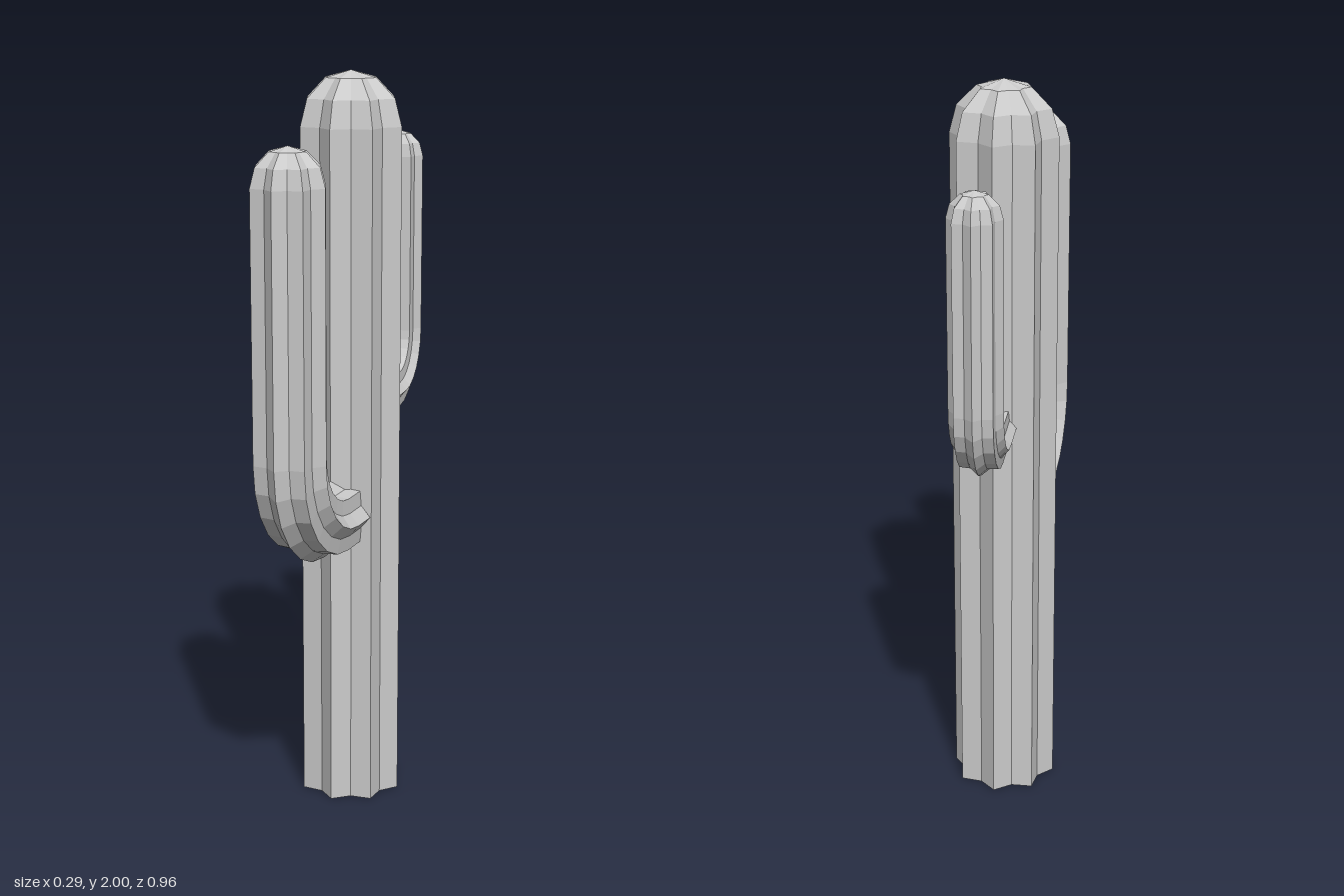
import * as THREE from 'three';

const RIBS = 8;
const VALLEY = 0.8; // groove radius relative to rib radius
const material = new THREE.MeshStandardMaterial({ color: 0xcccccc, flatShading: true, side: THREE.DoubleSide });

// Ribbed stem swept along a planar path of { p, t } (point, tangent), ending in a dome
function ribbedStem(name, path, radius, side) {
  const rings = path.map(({ p, t }) => ({ p, t, r: radius }));
  const end = path[path.length - 1];
  for (let i = 1; i <= 3; i++) {
    const a = (i / 3) * Math.PI / 2;
    const p = end.p.clone().addScaledVector(end.t, radius * Math.sin(a));
    rings.push({ p, t: end.t, r: radius * Math.cos(a) });
  }
  rings.unshift({ ...rings[0], r: 0 }); // closed base

  const n = RIBS * 2, positions = [], index = [];
  rings.forEach(({ p, t, r }, k) => {
    const normal = t.clone().cross(side);
    for (let i = 0; i < n; i++) {
      const a = (i / n) * Math.PI * 2;
      const rr = r * (i % 2 ? VALLEY : 1);
      const v = p.clone().addScaledVector(side, rr * Math.cos(a)).addScaledVector(normal, rr * Math.sin(a));
      positions.push(v.x, v.y, v.z);
      if (k === 0) continue;
      const a0 = (k - 1) * n + i, b0 = (k - 1) * n + (i + 1) % n;
      if (rings[k - 1].r > 0) index.push(a0, b0, b0 + n);
      if (k < rings.length - 1) index.push(a0, b0 + n, a0 + n);
      else index.push(a0, b0, a0 + n);
    }
  });
  const geometry = new THREE.BufferGeometry();
  geometry.setAttribute('position', new THREE.Float32BufferAttribute(positions, 3));
  geometry.setIndex(index);
  geometry.computeVertexNormals();
  const mesh = new THREE.Mesh(geometry, material);
  mesh.name = name;
  return mesh;
}

// Arm that leaves the trunk horizontally, bends upward and ends in a dome
function arm(name, { start, heading, reach, bend, radius, top }) {
  const out = new THREE.Vector3(Math.sin(heading), 0, Math.cos(heading));
  const up = new THREE.Vector3(0, 1, 0);
  const at = (d, h) => start.clone().addScaledVector(out, d).addScaledVector(up, h);
  const path = [{ p: start, t: out }];
  const steps = 6;
  for (let i = 0; i <= steps; i++) {
    const a = (i / steps) * Math.PI / 2;
    path.push({
      p: at(reach - bend + bend * Math.sin(a), bend * (1 - Math.cos(a))),
      t: out.clone().multiplyScalar(Math.cos(a)).addScaledVector(up, Math.sin(a)),
    });
  }
  path.push({ p: at(reach, top - radius - start.y), t: up });
  return ribbedStem(name, path, radius, up.clone().cross(out));
}

export function createModel() {
  const group = new THREE.Group();
  group.name = 'cactus';

  // Trunk
  const up = new THREE.Vector3(0, 1, 0);
  const trunkPath = [0, 1.857].map((y) => ({ p: new THREE.Vector3(0, y, -0.026), t: up }));
  group.add(ribbedStem('trunk', trunkPath, 0.143, new THREE.Vector3(1, 0, 0)));

  // Arms
  group.add(arm('frontArm', {
    start: new THREE.Vector3(0, 0.825, 0.08), heading: 0,
    reach: 0.3, bend: 0.22, radius: 0.1, top: 1.842,
  }));
  group.add(arm('backArm', {
    start: new THREE.Vector3(0.015, 1.1, -0.125), heading: Math.PI + 0.088,
    reach: 0.282, bend: 0.15, radius: 0.07, top: 1.812,
  }));
  return group;
}
